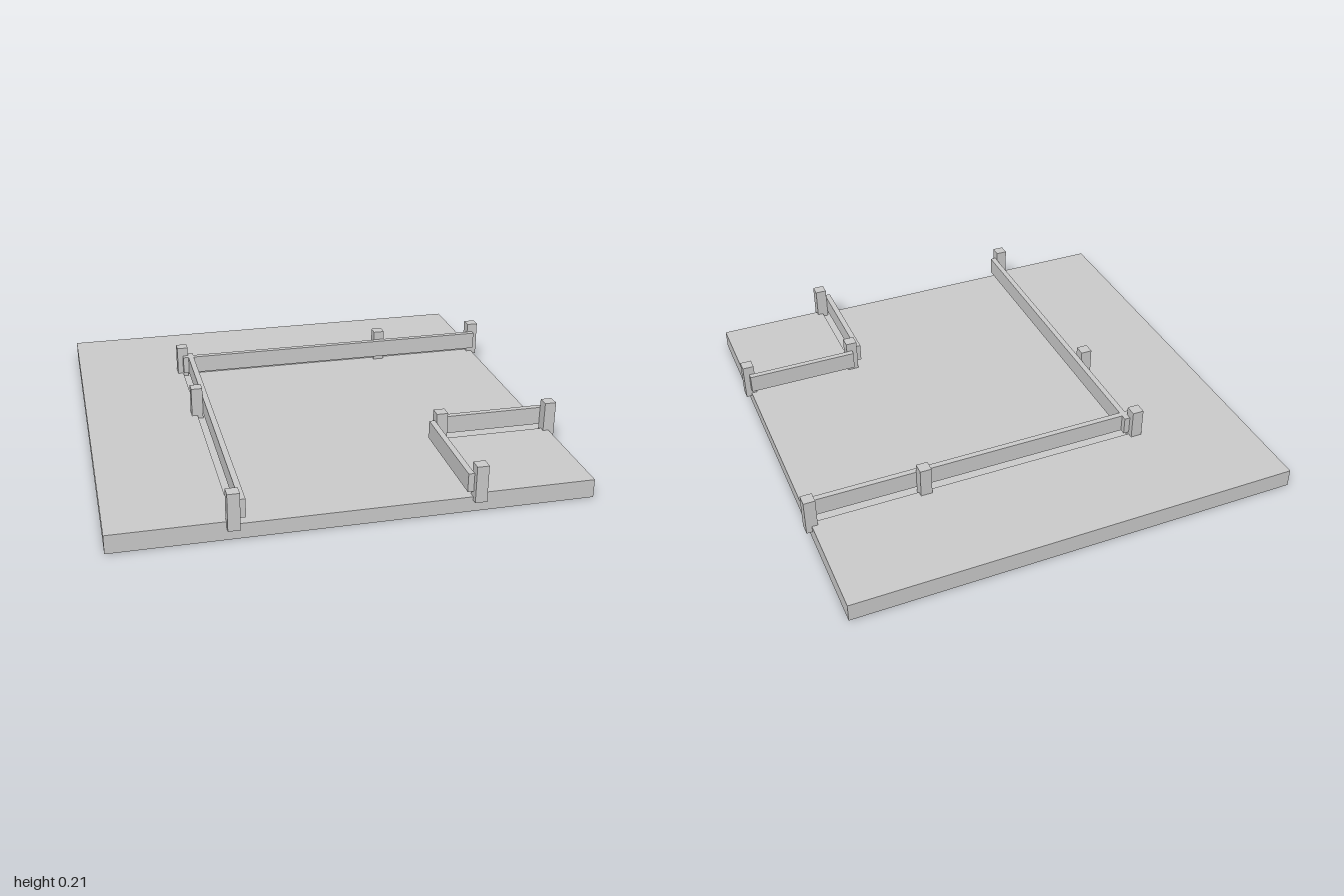
import * as THREE from 'three';

const MIN = -1, MAX = 0.975;         // slab extent in x and z
const OUTER = -0.51, INNER = 0.48;   // edges of the sunken road bend
const ROAD_Y = 0.065, GROUND_Y = 0.08;

export function createModel() {
  const model = new THREE.Group();
  const material = new THREE.MeshStandardMaterial({ color: 0xcccccc, flatShading: true });

  function add(name, geometry, parent = model) {
    const mesh = new THREE.Mesh(geometry, material);
    mesh.name = name;
    parent.add(mesh);
    return mesh;
  }

  // Box given by its lowest and highest corner
  function box(name, x0, y0, z0, x1, y1, z1, parent) {
    add(name, new THREE.BoxGeometry(x1 - x0, y1 - y0, z1 - z0), parent)
      .position.set((x0 + x1) / 2, (y0 + y1) / 2, (z0 + z1) / 2);
  }

  // Base slab, whose top is the road surface
  box('roadBase', MIN, 0, MIN, MAX, ROAD_Y, MAX);

  // Raised L-shaped ground outside the bend (shape y becomes -z)
  const outline = [[MIN, MIN], [MIN, MAX], [OUTER, MAX], [OUTER, OUTER], [MAX, OUTER], [MAX, MIN]];
  const shape = new THREE.Shape(outline.map(([x, z]) => new THREE.Vector2(x, -z)));
  const ground = new THREE.ExtrudeGeometry(shape, { depth: GROUND_Y - ROAD_Y, bevelEnabled: false });
  ground.rotateX(-Math.PI / 2).translate(0, ROAD_Y, 0);
  add('outerGround', ground);

  // Raised corner inside the bend
  box('innerGround', INNER, ROAD_Y, INNER, MAX, GROUND_Y, MAX);

  // Guard rails: each pair runs along x and z on the road side of the posts
  const rails = new THREE.Group();
  rails.name = 'guardRails';
  model.add(rails);
  for (const [name, start, near, far] of [
    ['outerRail', OUTER, -0.485, -0.46],
    ['innerRail', INNER, 0.43, 0.455],
  ]) {
    box(name + 'X', start, 0.09, near, MAX, 0.17, far, rails);
    box(name + 'Z', near, 0.09, start, far, 0.17, MAX, rails);
  }

  // Square posts along both edges of the road
  const posts = new THREE.Group();
  posts.name = 'posts';
  model.add(posts);
  const end = 0.975, h = 0.025;
  for (const [x, z] of [
    [OUTER, OUTER], [INNER, OUTER], [end, OUTER], [OUTER, -0.013], [OUTER, end],
    [INNER, INNER], [end, INNER], [INNER, end],
  ]) box('post', x - h, 0.05, z - h, x + h, 0.21, z + h, posts);

  return model;
}
